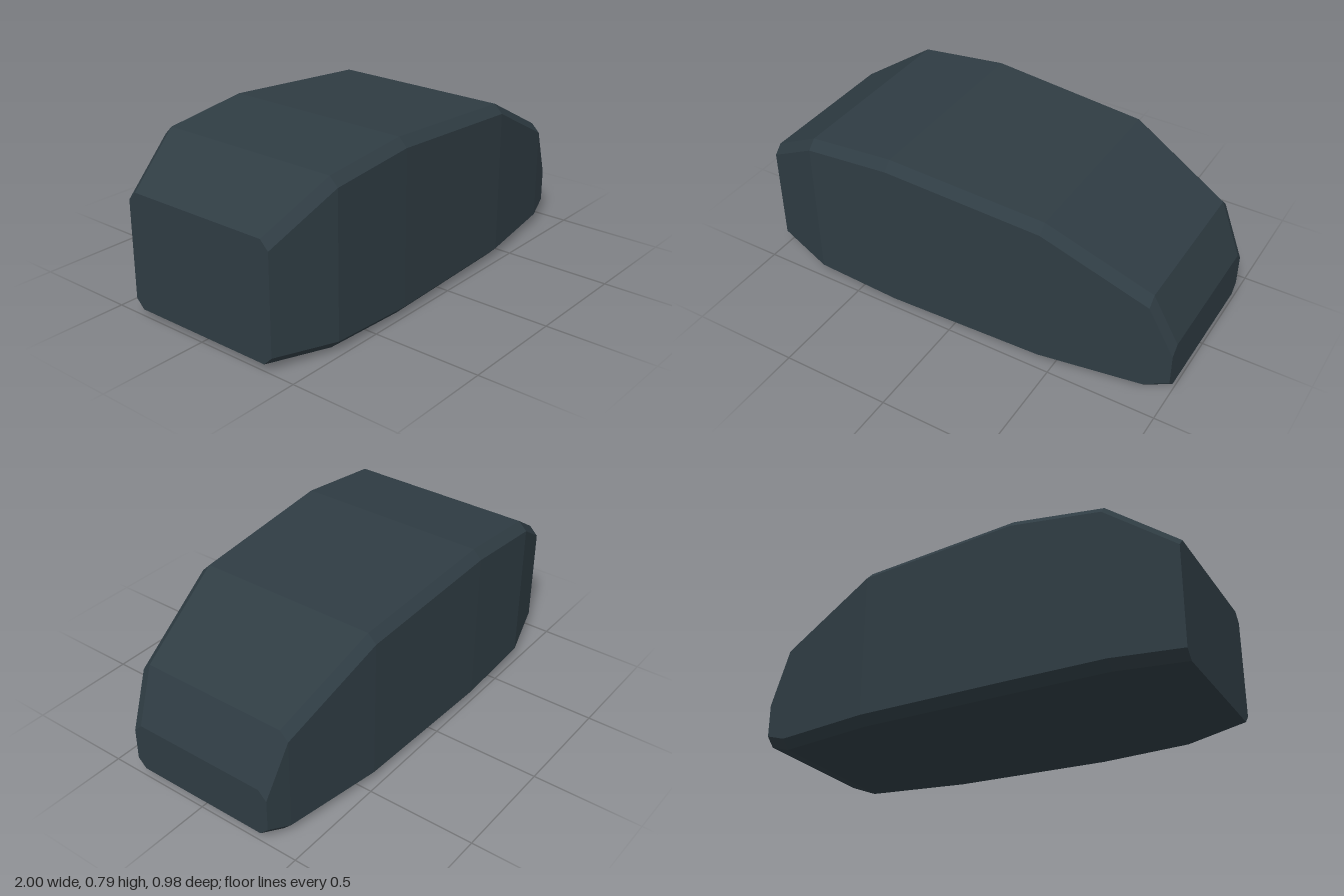
import * as THREE from 'three';

const CHAMFER = 0.04;

// Cross-sections along the length: [x, bottom, top, half width]
const SECTIONS = [
  [-1, 0.03, 0.56, 0.39],
  [-0.71, 0.01, 0.745, 0.48],
  [-0.3, 0, 0.79, 0.49],
  [0.43, 0, 0.74, 0.465],
  [0.89, 0, 0.51, 0.39],
  [1, 0.04, 0.27, 0.362],
];

// Chamfered rectangle, counter-clockwise seen from +x
function ring([x, b, t, w]) {
  const c = CHAMFER;
  const half = [[t, w - c], [t - c, w], [b + c, w], [b, w - c]];
  const mirrored = half.map(([y, z]) => [y, -z]).reverse();
  return [...half, ...mirrored].map(([y, z]) => [x, y, z]);
}

function loft(sections) {
  const rings = sections.map(ring);
  const n = rings[0].length;
  const pos = [];
  const tri = (a, b, c) => pos.push(...a, ...b, ...c);

  // Skin between neighbouring sections
  for (let i = 0; i < rings.length - 1; i++) {
    for (let j = 0; j < n; j++) {
      const k = (j + 1) % n;
      const a = rings[i][j], b = rings[i][k];
      const c = rings[i + 1][k], d = rings[i + 1][j];
      tri(a, b, c);
      tri(a, c, d);
    }
  }

  // Flat end caps
  const first = rings[0], last = rings[rings.length - 1];
  for (let j = 1; j < n - 1; j++) {
    tri(first[0], first[j + 1], first[j]);
    tri(last[0], last[j], last[j + 1]);
  }

  const geometry = new THREE.BufferGeometry();
  geometry.setAttribute('position', new THREE.Float32BufferAttribute(pos, 3));
  geometry.computeVertexNormals(); // unshared corners give flat facets
  return geometry;
}

export function createModel() {
  const slate = new THREE.MeshStandardMaterial({ color: 0x2f3c43 });
  slate.name = 'slate';

  const group = new THREE.Group();
  group.name = 'facetedShell';

  const body = new THREE.Mesh(loft(SECTIONS), slate);
  body.name = 'body';
  group.add(body);
  return group;
}
